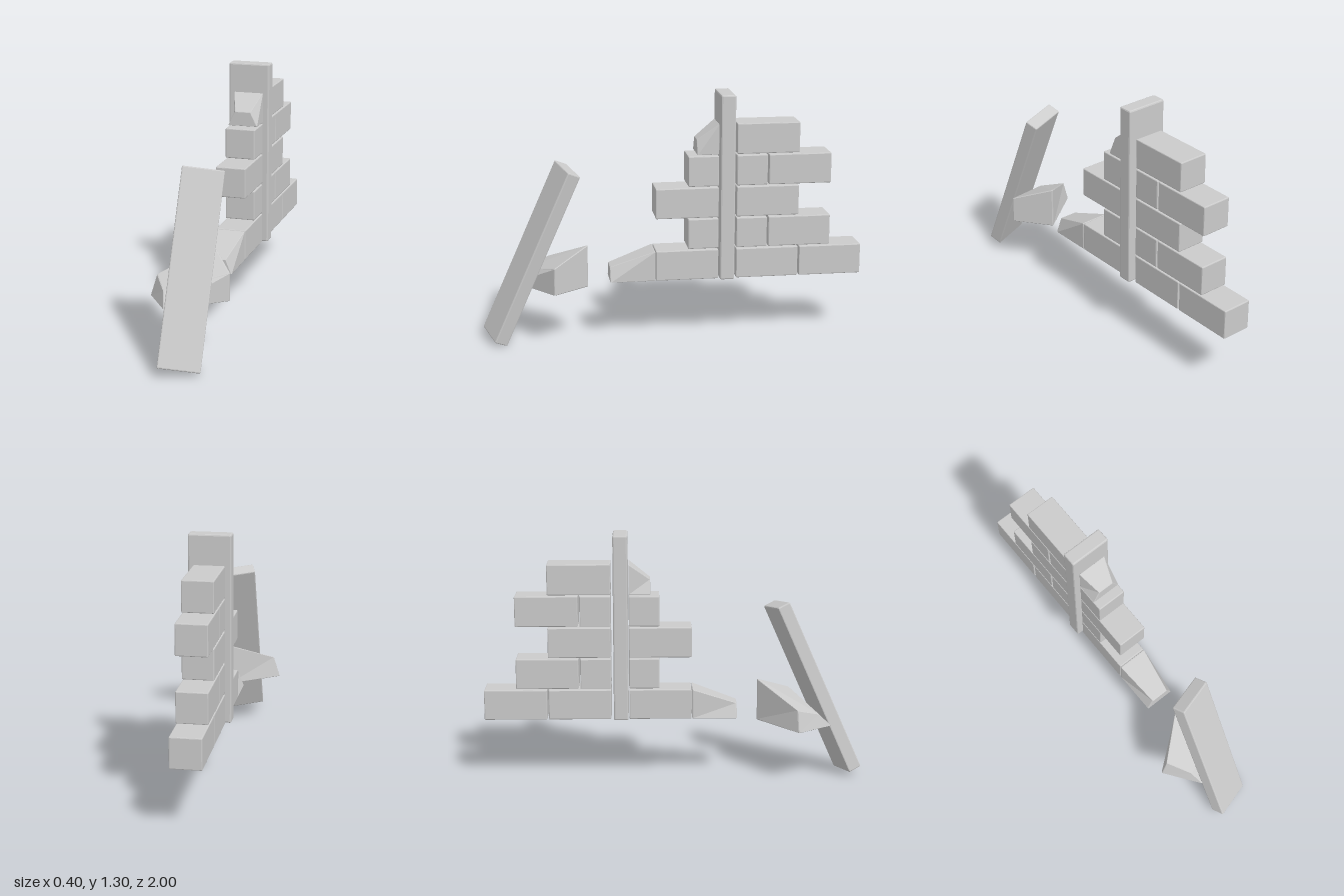
import * as THREE from 'three';
import { RoundedBoxGeometry } from 'three/addons/geometries/RoundedBoxGeometry.js';

const material = new THREE.MeshStandardMaterial({ color: 0xcccccc, flatShading: true });

// Box with a small chamfer on every edge
function chamferBox(name, w, h, d, bevel) {
  const mesh = new THREE.Mesh(new RoundedBoxGeometry(w, h, d, 1, bevel), material);
  mesh.name = name;
  return mesh;
}

// Chamfered block stretched between eight corners: four bottom, four top.
// Corner order: (left back), (right back), (left front), (right front), x then z.
function warpedBlock(name, corners) {
  const mesh = chamferBox(name, 1, 1, 1, 0.025);
  const pos = mesh.geometry.attributes.position;
  const c = corners.map((p) => new THREE.Vector3(...p));
  const edge = (i, u) => c[i].clone().lerp(c[i + 1], u);
  for (let i = 0; i < pos.count; i++) {
    const u = pos.getX(i) + 0.5, v = pos.getY(i) + 0.5, w = pos.getZ(i) + 0.5;
    const bottom = edge(0, u).lerp(edge(2, u), w);
    const top = edge(4, u).lerp(edge(6, u), w);
    const p = bottom.lerp(top, v);
    pos.setXYZ(i, p.x, p.y, p.z);
  }
  mesh.geometry.computeVertexNormals();
  return mesh;
}

// Wall brick whose free end is broken down to a low, narrow tip
function brokenBrick(name, y0, y1, zBack, zTip, tipY, inset) {
  const a = -0.04, b = 0.12;
  return warpedBlock(name, [
    [a, y0, zBack], [b, y0, zBack], [a, y0, zTip], [b, y0, zTip],
    [a, y1, zBack], [b, y1, zBack], [a + inset, tipY, zTip], [b - inset, tipY, zTip],
  ]);
}

export function createModel() {
  const model = new THREE.Group();

  // Brick courses: z ranges of the whole bricks in each row
  const wall = new THREE.Group();
  wall.name = 'brickWall';
  const longFront = [-0.235, 0.095], shortFront = [-0.235, -0.075];
  const longBack = [-0.66, -0.33], shortBack = [-0.492, -0.33], offsetBack = [-0.83, -0.5];
  const rows = [
    [longFront, longBack, [-1, -0.668]],
    [shortFront, shortBack, offsetBack],
    [longFront, longBack],
    [shortFront, shortBack, offsetBack],
    [longBack],
  ];
  const rowY = (i) => 0.327 + i * 0.167;
  const height = 0.16;
  rows.forEach((row, i) => row.forEach(([z0, z1]) => {
    const brick = chamferBox('brick', 0.16, height, z1 - z0, 0.005);
    brick.position.set(0.04, rowY(i) + height / 2, (z0 + z1) / 2);
    wall.add(brick);
  }));
  wall.add(brokenBrick('lowerBrokenBrick', rowY(0), rowY(0) + height, 0.098, 0.335, 0.403, 0.032));
  wall.add(brokenBrick('upperBrokenBrick', rowY(4), rowY(4) + height, -0.235, -0.122, 1.07, 0.038));
  model.add(wall);

  // Upright post set through the wall
  const post = chamferBox('post', 0.22, 0.98, 0.077, 0.008);
  post.position.set(0.04, 0.818, -0.278);
  model.add(post);

  // Loose plank leaning in front of the wall
  const plank = chamferBox('leaningPlank', 0.21, 0.98, 0.073, 0.006);
  plank.position.set(0.04, 0.481, 0.742);
  plank.rotation.set(-0.418, 0.31, 0);
  model.add(plank);

  // Larger broken brick behind the plank
  model.add(warpedBlock('looseBrokenBrick', [
    [-0.205, 0.29, 0.65], [0.06, 0.292, 0.445], [-0.07, 0.292, 0.835], [0.203, 0.295, 0.63],
    [-0.17, 0.403, 0.645], [0.06, 0.522, 0.445], [-0.095, 0.362, 0.765], [0.203, 0.44, 0.63],
  ]));

  return model;
}
